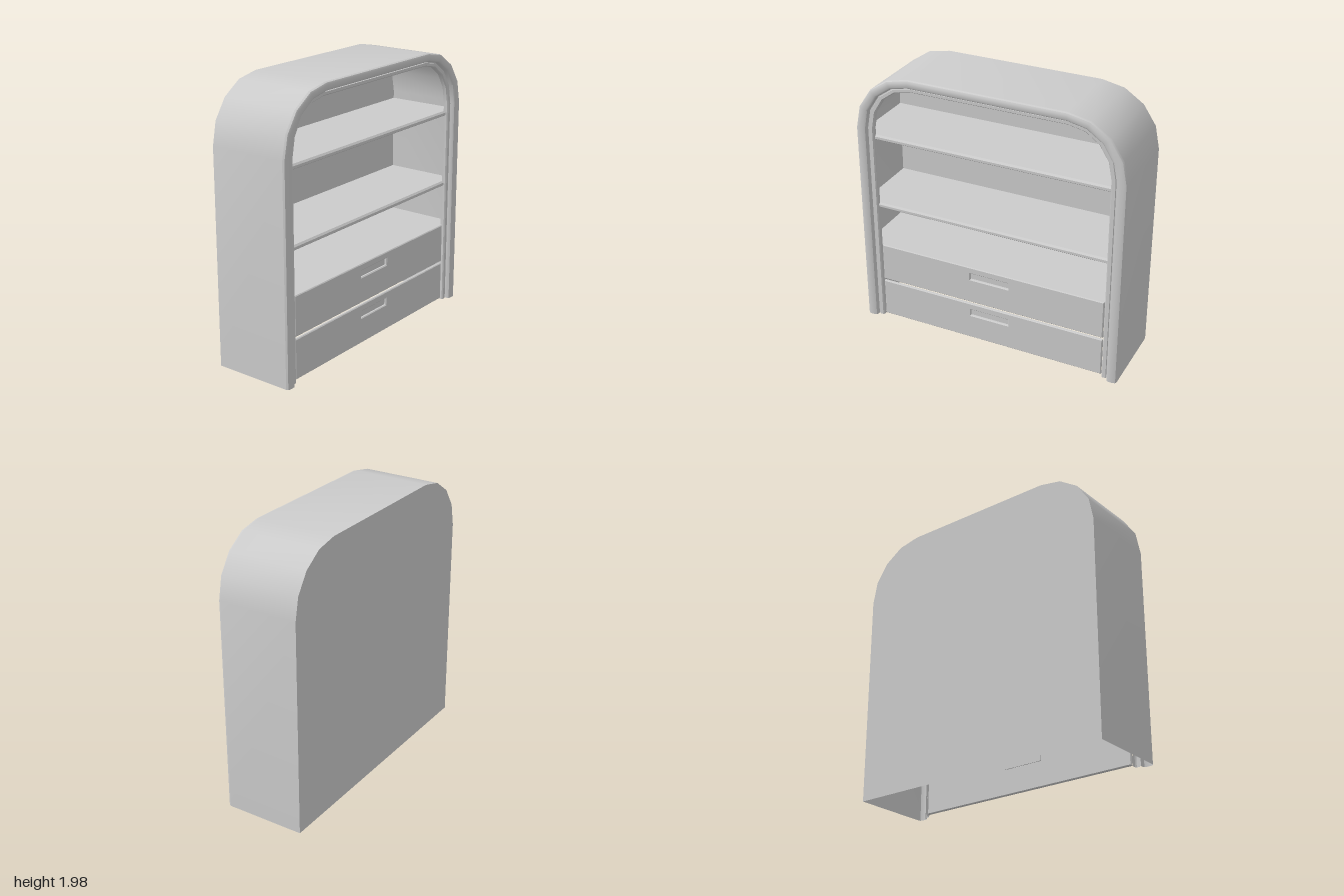
import * as THREE from 'three';
import { toCreasedNormals } from 'three/addons/utils/BufferGeometryUtils.js';

const material = new THREE.MeshStandardMaterial({ color: 0xcccccc, side: THREE.DoubleSide });

// Arched outline, inset by d, running from the right foot over the top to the left foot
function archOutline(d) {
  const right = [[1 - d, 0]];
  const steps = 4;
  for (let i = 0; i <= steps; i++) {
    const a = (i / steps) * Math.PI / 2;
    right.push([0.575 + (0.425 - d) * Math.cos(a), 1.55 + (0.425 - 0.8 * d) * Math.sin(a)]);
  }
  return [...right, ...right.slice().reverse().map(([x, y]) => [-x, y])];
}

// Sweep a profile of [inset, z] points around the arch
function sweepArch(profile) {
  const positions = [];
  const index = [];
  const n = archOutline(0).length;
  profile.forEach(([d, z]) => archOutline(d).forEach(([x, y]) => positions.push(x, y, z)));
  for (let j = 0; j < profile.length - 1; j++) {
    for (let i = 0; i < n - 1; i++) {
      const a = j * n + i, b = a + 1, c = a + n, e = c + 1;
      index.push(a, c, b, b, c, e);
    }
  }
  const geometry = new THREE.BufferGeometry();
  geometry.setAttribute('position', new THREE.Float32BufferAttribute(positions, 3));
  geometry.setIndex(index);
  return toCreasedNormals(geometry, 0.7);
}

function rectangle(PathType, w, h, cx, cy) {
  const x = w / 2, y = h / 2;
  return new PathType([[-x, -y], [x, -y], [x, y], [-x, y]].map(([px, py]) => new THREE.Vector2(cx + px, cy + py)));
}

export function createModel() {
  const model = new THREE.Group();
  model.name = 'archedCabinet';

  const add = (name, geometry, x = 0, y = 0, z = 0, parent = model) => {
    const mesh = new THREE.Mesh(geometry, material);
    mesh.name = name;
    mesh.position.set(x, y, z);
    parent.add(mesh);
    return mesh;
  };

  // Thin outer shell, open underneath
  add('outerShell', sweepArch([[0, -0.3], [0, 0.28]]));

  // Rounded front lip, groove and inner band
  add('frontMoulding', sweepArch([
    [0, 0.28], [0.006, 0.294], [0.02, 0.3], [0.058, 0.3], [0.07, 0.294], [0.076, 0.28],
    [0.076, 0.262], [0.085, 0.262], [0.088, 0.27], [0.112, 0.27], [0.12, 0.262], [0.12, 0.235],
  ]));

  // Flat back
  const backShape = new THREE.Shape(archOutline(0).map(([x, y]) => new THREE.Vector2(x, y)));
  add('backPanel', new THREE.ShapeGeometry(backShape), 0, 0, -0.3);

  // Shelves with a chamfered front edge, extruded across the width
  const shelfProfile = new THREE.Shape([
    [-0.297, 0], [0.245, 0], [0.25, 0.005], [0.25, 0.022], [0.238, 0.034], [-0.297, 0.034],
  ].map(([z, y]) => new THREE.Vector2(z, y)));
  const shelfGeometry = new THREE.ExtrudeGeometry(shelfProfile, { depth: 1.994, bevelEnabled: false });
  shelfGeometry.rotateY(-Math.PI / 2).scale(1, 1, 1).translate(0.997, 0, 0);
  [1.46, 0.92].forEach((y) => add('shelf', shelfGeometry, 0, y));

  // Board over the drawers
  add('drawerTop', new THREE.BoxGeometry(1.994, 0.015, 0.53), 0, 0.597, -0.032);

  // Drawer fronts with a recessed grip
  const bevel = 0.006;
  const front = rectangle(THREE.Shape, 1.74 - 2 * bevel, 0.292 - 2 * bevel, 0, 0);
  front.holes.push(rectangle(THREE.Path, 0.3 + 2 * bevel, 0.05 + 2 * bevel, 0, 0.07));
  const frontGeometry = new THREE.ExtrudeGeometry(front, {
    depth: 0.012, bevelEnabled: true, bevelSize: bevel, bevelThickness: bevel, bevelSegments: 1,
  });
  [0.156, 0.464].forEach((y) => {
    const drawer = new THREE.Group();
    drawer.name = 'drawer';
    drawer.position.set(0, y, 0.238);
    add('drawerFront', frontGeometry, 0, 0, 0, drawer);
    add('gripRecess', new THREE.BoxGeometry(0.31, 0.06, 0.012), 0, 0.07, -0.006, drawer);
    model.add(drawer);
  });

  return model;
}
